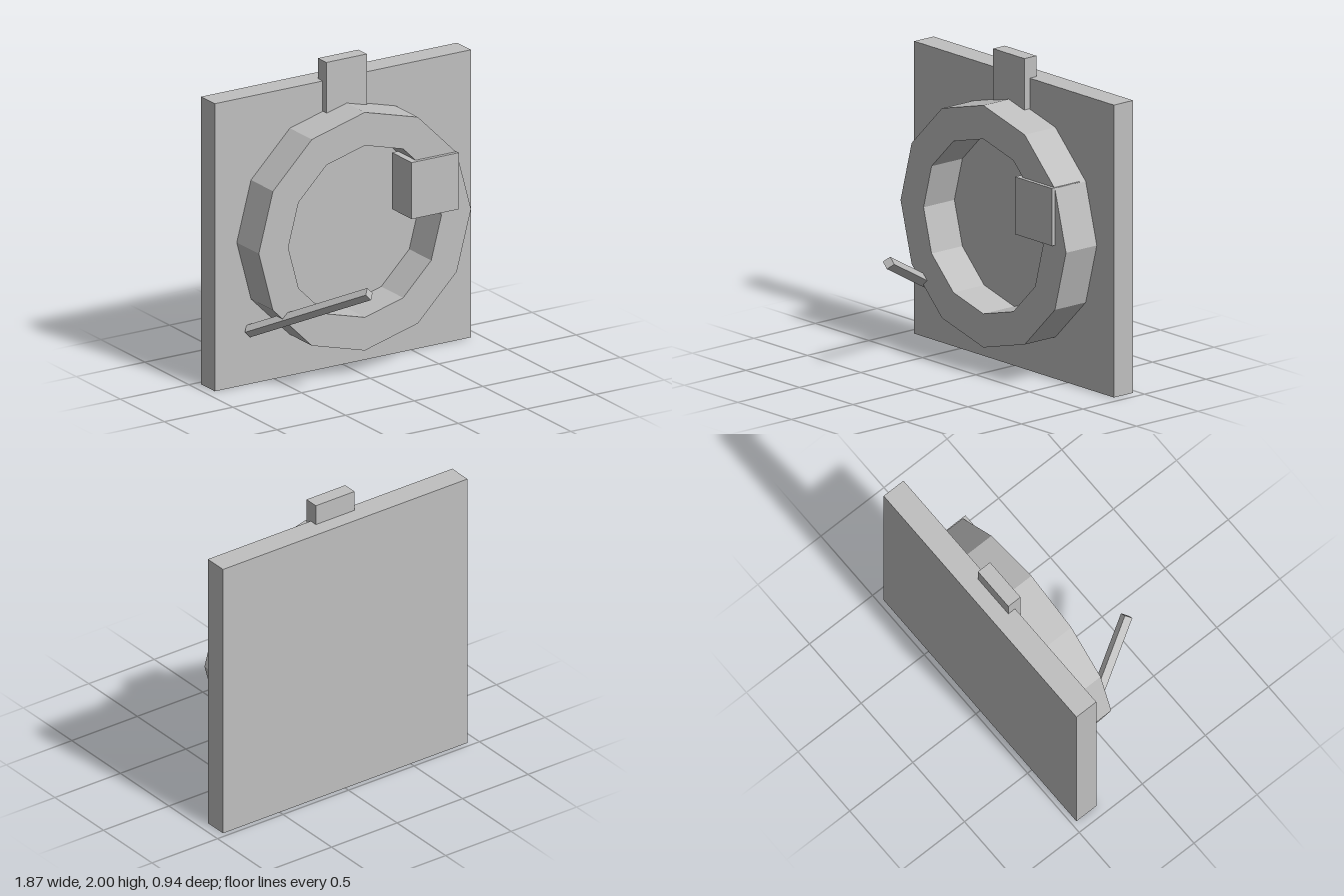
import * as THREE from 'three';

export function createModel() {
  const model = new THREE.Group();
  const grey = new THREE.MeshStandardMaterial({ color: 0xbfbfbf, flatShading: true });
  grey.name = 'grey';

  const add = (name, geometry) => {
    const mesh = new THREE.Mesh(geometry, grey);
    mesh.name = name;
    model.add(mesh);
    return mesh;
  };

  // Axis-aligned box given by its low and high corners
  const box = (name, [x0, y0, z0], [x1, y1, z1]) => {
    const mesh = add(name, new THREE.BoxGeometry(x1 - x0, y1 - y0, z1 - z0));
    mesh.position.set((x0 + x1) / 2, (y0 + y1) / 2, (z0 + z1) / 2);
    return mesh;
  };

  box('backPlate', [-0.933, 0, -0.467], [0.933, 1.867, -0.31]);
  box('topTab', [-0.147, 1.672, -0.363], [0.147, 2, -0.267]);
  box('sideBlock', [0.325, 0.962, -0.26], [0.669, 1.329, -0.035]);

  // Twelve-sided ring with an open middle
  const polygon = (radius) => Array.from({ length: 12 }, (_, i) => {
    const a = (i * Math.PI) / 6;
    return new THREE.Vector2(radius * Math.cos(a), radius * Math.sin(a));
  });
  const outline = new THREE.Shape(polygon(0.773));
  outline.holes.push(new THREE.Path(polygon(0.558)));
  const ring = add('ring', new THREE.ExtrudeGeometry(outline, { depth: 0.25, bevelEnabled: false }));
  ring.position.set(0, 0.936, -0.31);

  // Slanted square rod running through the ring
  const base = new THREE.Vector3(-0.696, 0.348, -0.3);
  const tip = new THREE.Vector3(-0.297, 0.735, 0.452);
  const along = tip.clone().sub(base);
  const rod = add('rod', new THREE.BoxGeometry(0.055, 0.055, along.length()));
  along.normalize();
  const across = new THREE.Vector3(along.y, -along.x, 0).normalize();
  const up = along.clone().cross(across);
  rod.quaternion.setFromRotationMatrix(new THREE.Matrix4().makeBasis(across, up, along));
  rod.position.copy(base).add(tip).multiplyScalar(0.5);

  return model;
}
